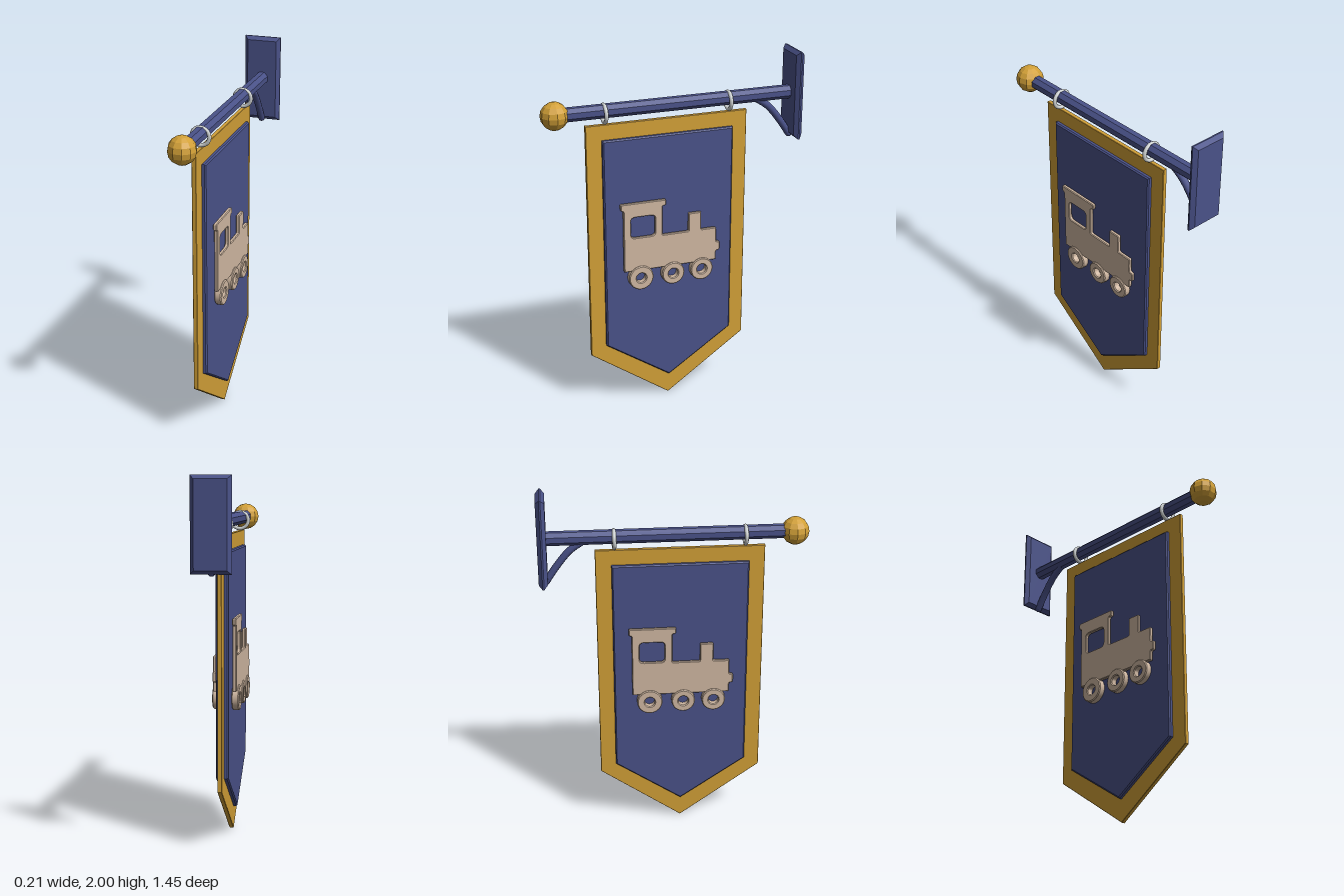
import * as THREE from 'three';
import { toCreasedNormals } from 'three/addons/utils/BufferGeometryUtils.js';

const mat = (name, color) => Object.assign(new THREE.MeshStandardMaterial({ color }), { name });

// Closed outline with small rounded corners
function rounded(points, r, path = new THREE.Shape()) {
  const v = points.map(([x, y]) => new THREE.Vector2(x, y));
  v.forEach((p, i) => {
    const toward = (q) => p.clone().add(q.clone().sub(p).setLength(r));
    const a = toward(v[(i + v.length - 1) % v.length]);
    const b = toward(v[(i + 1) % v.length]);
    if (i === 0) path.moveTo(a.x, a.y);
    else path.lineTo(a.x, a.y);
    path.quadraticCurveTo(p.x, p.y, b.x, b.y);
  });
  path.closePath();
  return path;
}

const polygon = (points) => new THREE.Shape(points.map(([x, y]) => new THREE.Vector2(x, y)));

// Slab between depths d0 and d1, bevelled inside its outline
function slab(shape, d0, d1, bevel, curveSegments = 4) {
  const g = new THREE.ExtrudeGeometry(shape, {
    depth: d1 - d0 - 2 * bevel, bevelEnabled: bevel > 0, bevelThickness: bevel,
    bevelSize: bevel, bevelOffset: -bevel, bevelSegments: 1, curveSegments,
  });
  return g.translate(0, 0, d0 + bevel);
}

export function createModel() {
  const blue = mat('navy blue', 0x4a5289);
  const gold = mat('gold', 0xd2a037);
  const tan = mat('pale wood', 0xd0b8a2);
  const silver = mat('silver', 0xd0d4d4);

  const model = new THREE.Group();
  model.name = 'hangingSign';
  const add = (name, geometry, material, parent = model) => {
    const m = new THREE.Mesh(geometry, material);
    m.name = name;
    parent.add(m);
    return m;
  };

  // Wall plate with wide bevels
  add('wallPlate', slab(polygon([[-0.105, 1.508], [0.105, 1.508], [0.105, 2], [-0.105, 2]]),
    -0.724, -0.676, 0.02), blue);

  // Eight-sided pole
  const pole = new THREE.CylinderGeometry(0.039, 0.039, 1.29, 8).toNonIndexed();
  pole.rotateY(Math.PI / 8).rotateX(Math.PI / 2).translate(0, 1.758, -0.045);
  add('pole', toCreasedNormals(pole, 0.3), blue);

  // Faceted ball on the pole end
  const ball = new THREE.SphereGeometry(0.076, 10, 8).toNonIndexed();
  ball.computeVertexNormals();
  add('ballEnd', ball.translate(0, 1.758, 0.656), gold);

  // Curved brace under the pole
  const bracePath = new THREE.CatmullRomCurve3([[1.742, -0.475], [1.69, -0.552], [1.608, -0.622], [1.516, -0.685]]
    .map(([y, z]) => new THREE.Vector3(0, y, z)));
  add('brace', new THREE.TubeGeometry(bracePath, 10, 0.02, 8), blue);
  add('braceEnd', new THREE.SphereGeometry(0.02, 8, 6).translate(0, 1.516, -0.685), blue);

  // Hanging rings
  for (const z of [0.387, -0.318]) {
    add('ring', new THREE.TorusGeometry(0.048, 0.011, 8, 20).translate(0, 1.743, z), silver);
  }

  // Banner, drawn facing the model's side
  const banner = new THREE.Group();
  banner.name = 'banner';
  banner.position.z = 0.036;
  banner.rotation.y = Math.PI / 2;
  model.add(banner);
  const pennant = (w, top, side, tip) => polygon([[-w, top], [-w, side], [0, tip], [w, side], [w, top]]);
  add('bannerBorder', slab(pennant(0.458, 1.685, 0.325, 0.003), -0.012, 0.012, 0.002), gold, banner);
  add('bannerPanel', slab(pennant(0.372, 1.6, 0.38, 0.13), -0.034, 0.034, 0.007), blue, banner);

  // Train cut-out
  const body = rounded([
    [-0.324, 1.239], [-0.324, 1.202], [-0.308, 1.198], [-0.308, 0.836], [0.233, 0.836], [0.233, 0.889],
    [0.255, 0.893], [0.255, 0.943], [0.233, 0.947], [0.233, 1.032], [0.143, 1.032], [0.143, 1.138],
    [0.069, 1.138], [0.069, 1.032], [-0.085, 1.032], [-0.085, 1.202], [-0.064, 1.206], [-0.064, 1.239],
  ], 0.007);
  body.holes.push(rounded([[-0.267, 1.035], [-0.126, 1.035], [-0.126, 1.156], [-0.267, 1.156]], 0.025, new THREE.Path()));
  const bodyGeo = slab(body, 0.043, 0.064, 0.004);

  // Wheels are thick discs with a round hole
  const wheelGeo = (x, r) => {
    const s = new THREE.Shape().absarc(0, 0, r, 0, Math.PI * 2);
    s.holes.push(new THREE.Path().absarc(0, 0, 0.028, 0, Math.PI * 2, true));
    return toCreasedNormals(slab(s, 0.033, 0.073, 0.005, 12), 0.6).translate(x, 0.793, 0);
  };
  const wheels = [[-0.212, 0.071], [0.024 * -1, 0.066], [0.146, 0.066]].map(([x, r]) => wheelGeo(x, r));

  // One train on each face of the banner
  for (const turn of [0, Math.PI]) {
    const face = new THREE.Group();
    face.name = 'trainSide';
    face.rotation.y = turn;
    banner.add(face);
    const train = new THREE.Group();
    train.name = 'train';
    train.position.x = 0.036;
    face.add(train);
    add('trainBody', bodyGeo, tan, train);
    wheels.forEach((g) => add('trainWheel', g, tan, train));
  }
  return model;
}
